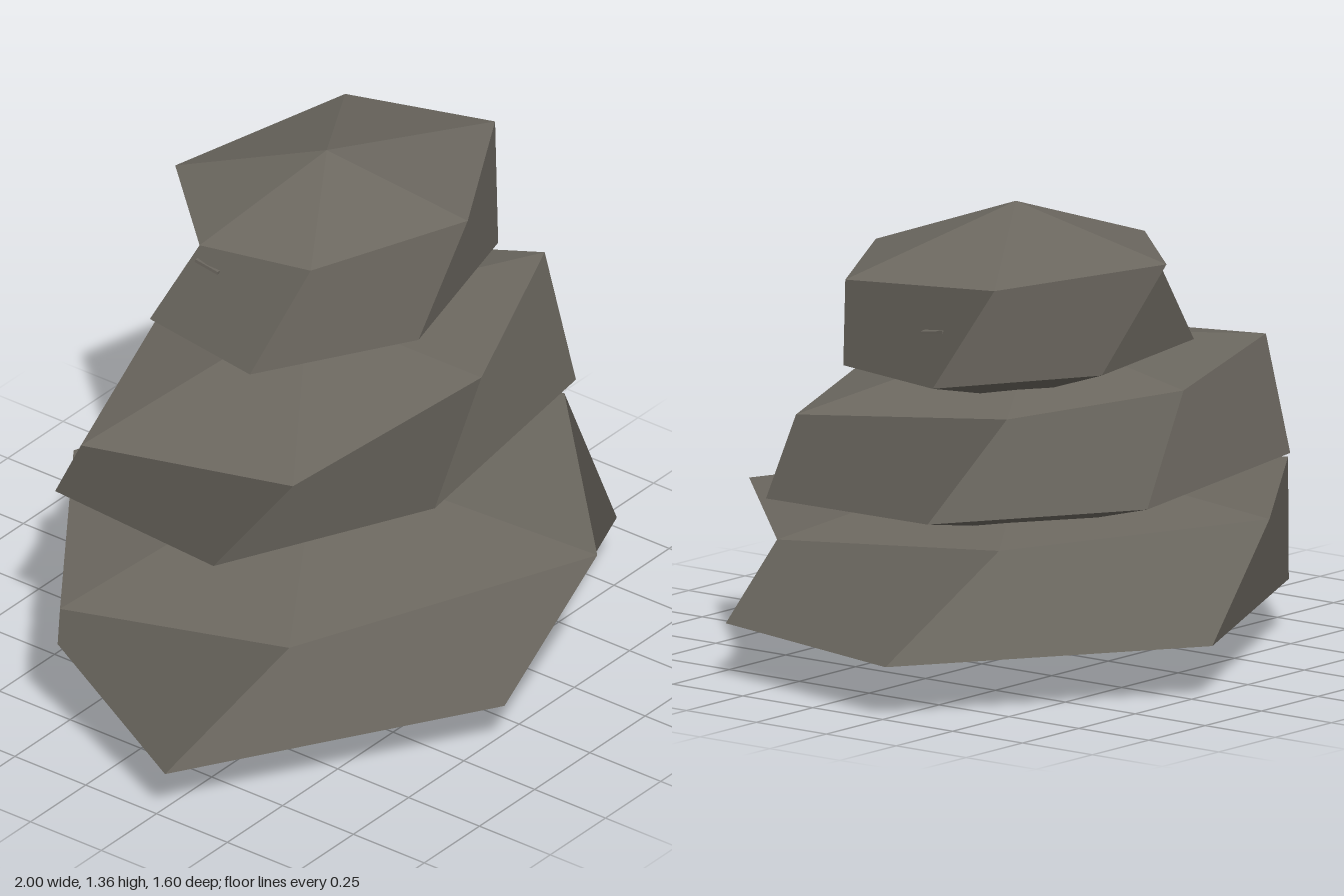
import * as THREE from 'three';

const stone = new THREE.MeshStandardMaterial({ color: 0x6b675f });
stone.name = 'stone grey';

// Each boulder: a lower and an upper six-sided ring, closed by a shallow point below and above
const boulders = [
  {
    name: 'bottomBoulder',
    base: [0.05, 0, 0], peak: [0.05, 0.575, 0],
    lower: [[-1, 0.14, 0.28], [-0.13, 0.14, 0.8], [0.84, 0.155, 0.44],
      [1, 0.15, -0.26], [0.22, 0.153, -0.8], [-0.64, 0.145, -0.38]],
    upper: [[-0.63, 0.43, 0.43], [0.29, 0.43, 0.8], [0.91, 0.437, 0.2],
      [0.67, 0.445, -0.4], [-0.17, 0.435, -0.69], [-0.86, 0.432, -0.2]],
  },
  {
    name: 'middleBoulder',
    base: [0.16, 0.39, -0.12], peak: [0.16, 0.955, -0.12],
    lower: [[-0.55, 0.535, 0.1], [0.08, 0.53, 0.39], [0.86, 0.535, 0.28],
      [0.85, 0.535, -0.29], [0.31, 0.535, -0.64], [-0.51, 0.54, -0.49]],
    upper: [[-0.46, 0.83, 0.31], [0.33, 0.825, 0.36], [0.975, 0.82, 0.08],
      [0.66, 0.82, -0.42], [0.05, 0.82, -0.56], [-0.65, 0.83, -0.29]],
  },
  {
    name: 'topBoulder',
    base: [0.335, 0.8, -0.19], peak: [0.335, 1.358, -0.19],
    lower: [[-0.18, 0.922, -0.06], [0.25, 0.926, 0.2], [0.79, 0.932, 0.06],
      [0.89, 0.935, -0.34], [0.45, 0.933, -0.59], [-0.12, 0.925, -0.46]],
    upper: [[-0.02, 1.217, 0.03], [0.46, 1.217, 0.21], [0.93, 1.215, -0.06],
      [0.79, 1.215, -0.48], [0.2, 1.212, -0.62], [-0.1, 1.215, -0.3]],
  },
];

function boulderGeometry({ lower, upper, base, peak }) {
  const positions = [];
  const normals = [];
  // Adds a triangle or a quad split from its first corner; each face is shaded flat with one normal
  const face = (...corners) => {
    const p = corners.map((c) => new THREE.Vector3(...c));
    const last = p.length - 1;
    const normal = p[2].clone().sub(p[0])
      .cross(p[last].clone().sub(p[last === 3 ? 1 : 0]));
    if (last === 2) normal.copy(p[1]).sub(p[0]).cross(p[2].clone().sub(p[0]));
    normal.normalize();
    for (let k = 1; k < last; k++) {
      for (const c of [corners[0], corners[k], corners[k + 1]]) {
        positions.push(...c);
        normals.push(normal.x, normal.y, normal.z);
      }
    }
  };
  const n = lower.length;
  for (let i = 0; i < n; i++) {
    const j = (i + 1) % n;
    face(lower[j], lower[i], base); // underside
    if (j > 0) face(lower[i], lower[j], upper[j], upper[i]); // flank
    else face(lower[j], upper[j], upper[i], lower[i]); // closing flank
    face(upper[i], upper[j], peak); // cap
  }
  const geometry = new THREE.BufferGeometry();
  geometry.setAttribute('position', new THREE.Float32BufferAttribute(positions, 3));
  geometry.setAttribute('normal', new THREE.Float32BufferAttribute(normals, 3));
  return geometry;
}

export function createModel() {
  const group = new THREE.Group();
  group.name = 'stackedBoulders';
  for (const boulder of boulders) {
    const mesh = new THREE.Mesh(boulderGeometry(boulder), stone);
    mesh.name = boulder.name;
    group.add(mesh);
  }

  // Thin stone seam that just breaks the surface of the top boulder
  const seam = new THREE.Mesh(new THREE.BoxGeometry(0.94, 0.009, 0.08), stone);
  seam.name = 'stoneSeam';
  seam.position.set(0.35, 1.12, -0.27);
  seam.rotation.set(0.15, 0, -0.1);
  group.add(seam);
  return group;
}
